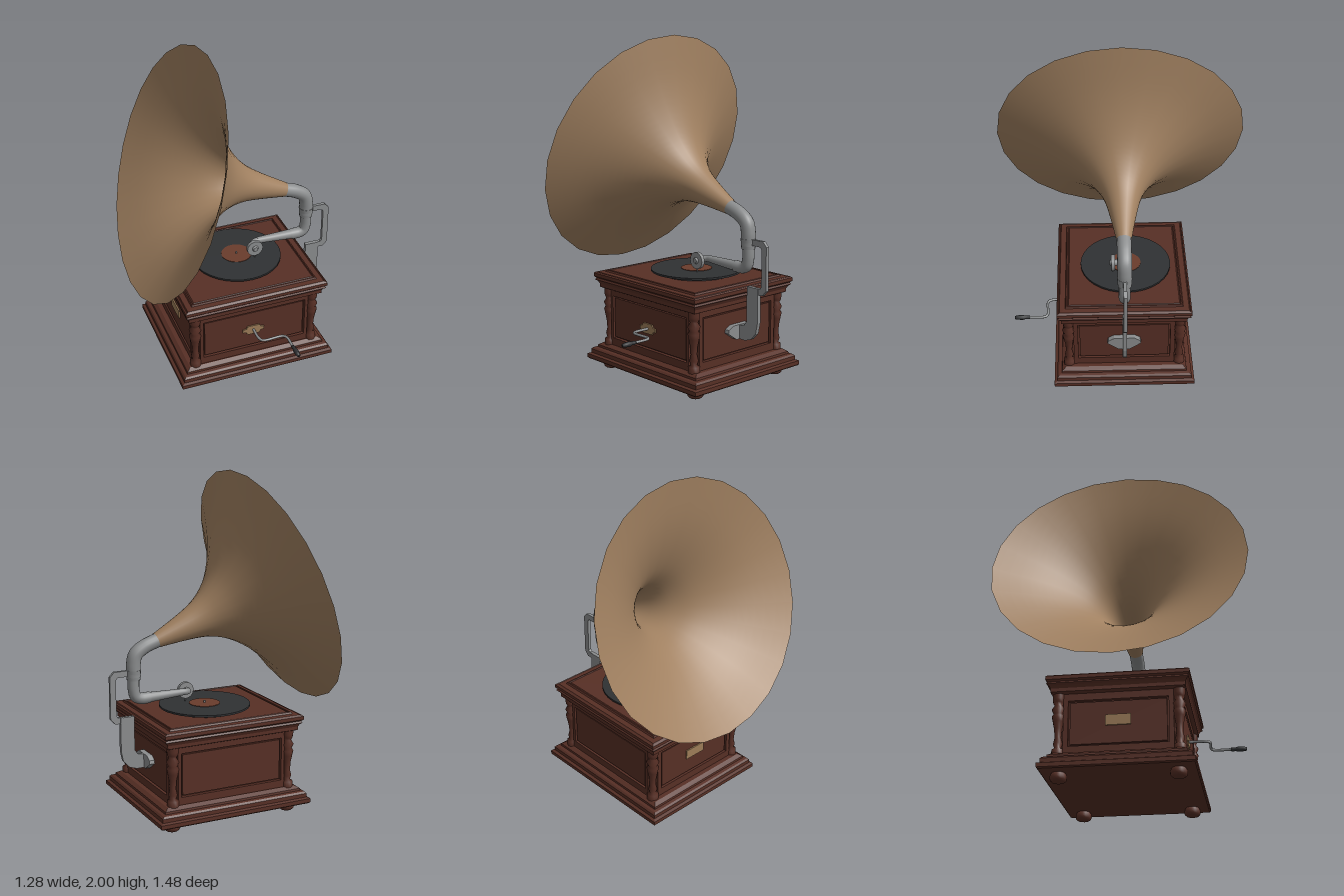
import * as THREE from 'three';

const paint = (name, color, side = THREE.FrontSide) => {
  const m = new THREE.MeshStandardMaterial({ color, side });
  m.name = name;
  return m;
};
const V = (x, y, z = 0) => new THREE.Vector3(x, y, z);

export function createModel() {
  const root = new THREE.Group();
  root.name = 'gramophone';
  const wood = paint('mahogany', 0x572f25);
  const hornTan = paint('horn brass', 0xa08060, THREE.DoubleSide);
  const metal = paint('nickel', 0x8b8d8e);
  const black = paint('black', 0x2f3133);
  const brass = paint('plate brass', 0x9c7c58);
  const labelRed = paint('record label', 0x6a3c2c);

  const add = (name, geometry, material, parent = root) => {
    const mesh = new THREE.Mesh(geometry, material);
    mesh.name = name;
    parent.add(mesh);
    return mesh;
  };
  // tapered round bar between two points
  const bar = (name, a, b, ra, rb, material, sides = 16) => {
    const mesh = add(name, new THREE.CylinderGeometry(rb, ra, a.distanceTo(b), sides), material);
    mesh.position.copy(a).add(b).multiplyScalar(0.5);
    mesh.quaternion.setFromUnitVectors(V(0, 1), b.clone().sub(a).normalize());
    return mesh;
  };
  const tube = (name, points, r, material, sides = 16) =>
    add(name, new THREE.TubeGeometry(new THREE.CatmullRomCurve3(points), 32, r, sides), material);
  const extrude = (pts, depth) => new THREE.ExtrudeGeometry(
    new THREE.Shape(pts.map(([x, y]) => new THREE.Vector2(x, y))), { depth, bevelEnabled: false });

  // rectangular moulding: profile of [half width, y]; the half depth is smaller by d
  const moulding = (name, profile, d, parent) => {
    const rings = profile.map(([h, y]) => [[-1, 1], [1, 1], [1, -1], [-1, -1]].map(([i, k]) => [i * h, y, k * (h - d)]));
    const pos = [];
    const quad = (a, b, c, e) => [a, b, c, a, c, e].forEach(p => pos.push(...p));
    for (let i = 0; i + 1 < rings.length; i++) {
      for (let k = 0; k < 4; k++) {
        const n = (k + 1) % 4;
        quad(rings[i][k], rings[i][n], rings[i + 1][n], rings[i + 1][k]);
      }
    }
    quad(...rings[rings.length - 1]);
    quad(...[...rings[0]].reverse());
    const g = new THREE.BufferGeometry();
    g.setAttribute('position', new THREE.Float32BufferAttribute(pos, 3));
    g.computeVertexNormals();
    return add(name, g, wood, parent);
  };

  // cabinet
  const cabinet = new THREE.Group();
  cabinet.name = 'cabinet';
  cabinet.position.x = 0.022;
  root.add(cabinet);
  moulding('plinth', [[0.478, 0.048], [0.485, 0.055], [0.485, 0.078], [0.468, 0.085], [0.468, 0.108],
    [0.458, 0.118], [0.44, 0.122], [0.438, 0.135], [0.415, 0.15]], 0.063, cabinet);
  moulding('body', [[0.365, 0.14], [0.365, 0.51]], 0.042, cabinet);
  moulding('lid', [[0.41, 0.495], [0.42, 0.5], [0.42, 0.52], [0.428, 0.535], [0.44, 0.545], [0.434, 0.555],
    [0.445, 0.565], [0.445, 0.585], [0.436, 0.592], [0.432, 0.587], [0.428, 0.592], [0.395, 0.594],
    [0.39, 0.604], [0.383, 0.604], [0.38, 0.598], [0.374, 0.603]], 0.05, cabinet);

  // raised frame with a sunken panel on each wall
  const frame = (w, holeW) => {
    const s = new THREE.Shape([[-w, 0.145], [w, 0.145], [w, 0.505], [-w, 0.505]].map(p => new THREE.Vector2(...p)));
    s.holes.push(new THREE.Path([[-holeW, 0.195], [-holeW, 0.455], [holeW, 0.455], [holeW, 0.195]].map(p => new THREE.Vector2(...p))));
    return new THREE.ExtrudeGeometry(s, { depth: 0.022, bevelEnabled: false });
  };
  for (let i = 0; i < 4; i++) {
    const long = i % 2 === 0;
    const wall = new THREE.Group();
    wall.name = 'wall';
    wall.rotation.y = i * Math.PI / 2;
    cabinet.add(wall);
    const face = long ? 0.323 : 0.365;
    const half = long ? 0.325 : 0.275;
    add('wallFrame', frame(long ? 0.345 : 0.302, half), wood, wall).position.z = face;
    add('wallPanel', new THREE.BoxGeometry(half * 2 - 0.02, 0.24, 0.016), wood, wall).position.set(0, 0.325, face + 0.008);
  }

  // corner columns and feet
  const columnProfile = [[0.034, 0.145], [0.034, 0.18], [0.018, 0.19], [0.026, 0.215], [0.018, 0.25], [0.022, 0.3],
    [0.03, 0.34], [0.036, 0.37], [0.026, 0.385], [0.037, 0.41], [0.022, 0.435], [0.03, 0.45], [0.034, 0.47], [0.034, 0.505]]
    .map(p => new THREE.Vector2(...p));
  const footProfile = [[0, 0], [0.035, 0], [0.045, 0.01], [0.048, 0.025], [0.044, 0.04], [0.035, 0.052]]
    .map(p => new THREE.Vector2(...p));
  for (const sx of [-1, 1]) {
    for (const sz of [-1, 1]) {
      add('cornerColumn', new THREE.LatheGeometry(columnProfile, 12), wood, cabinet).position.set(sx * 0.373, 0, sz * 0.331);
      add('foot', new THREE.LatheGeometry(footProfile, 16), wood, cabinet).position.set(sx * 0.376, 0, sz * 0.322);
    }
  }
  add('namePlate', new THREE.BoxGeometry(0.008, 0.06, 0.14), brass).position.set(-0.364, 0.335, 0);

  // record
  const disc = (name, r, y0, y1, m) => bar(name, V(0.04, y0, -0.018), V(0.04, y1, -0.018), r, r, m, 32);
  disc('turntable', 0.22, 0.6, 0.62, black);
  disc('record', 0.272, 0.62, 0.631, black);
  disc('recordLabel', 0.092, 0.63, 0.634, labelRed);
  disc('spindle', 0.006, 0.63, 0.645, metal);

  // flared horn
  const hornCurve = new THREE.SplineCurve([[0.742, 0], [0.527, 0.1], [0.368, 0.195], [0.238, 0.3], [0.157, 0.398],
    [0.108, 0.495], [0.075, 0.62], [0.044, 0.775]].map(p => new THREE.Vector2(...p)));
  const horn = add('horn', new THREE.LatheGeometry(hornCurve.getPoints(28), 24), hornTan);
  horn.position.set(-0.388, 1.302, 0);
  horn.quaternion.setFromUnitVectors(V(0, 1), V(0.94, -0.34).normalize());

  // horn elbow, pivot and tone arm
  tube('hornElbow', [V(0.335, 1.04), V(0.42, 1.008), V(0.472, 0.968), V(0.487, 0.91), V(0.487, 0.84)], 0.042, metal);
  bar('pivotCollar', V(0.487, 0.82), V(0.487, 0.88), 0.039, 0.044, metal);
  tube('toneArmElbow', [V(0.487, 0.85), V(0.487, 0.76), V(0.475, 0.72), V(0.445, 0.705), V(0.39, 0.704)], 0.034, metal);
  bar('toneArm', V(0.41, 0.704), V(0.17, 0.71), 0.031, 0.02, metal);
  tube('toneArmTip', [V(0.19, 0.71), V(0.15, 0.708, 0.005), V(0.13, 0.704, 0.025), V(0.13, 0.702, 0.05)], 0.019, metal);
  bar('soundBox', V(0.13, 0.702, 0.048), V(0.13, 0.702, 0.07), 0.05, 0.05, metal);
  bar('soundBoxHub', V(0.13, 0.702, 0.07), V(0.13, 0.702, 0.08), 0.02, 0.014, metal);
  bar('needle', V(0.13, 0.67, 0.06), V(0.13, 0.634, 0.06), 0.006, 0.003, metal, 8);

  // support bracket on the side wall
  add('supportRod', extrude([[0.51, 0.845], [0.588, 0.845], [0.6, 0.833], [0.6, 0.618], [0.59, 0.606], [0.55, 0.606],
    [0.55, 0.57], [0.608, 0.57], [0.636, 0.6], [0.636, 0.852], [0.61, 0.88], [0.51, 0.88]], 0.02), metal).position.z = -0.01;
  add('supportPlate', extrude([[0.49, 0.605], [0.49, 0.4], [0.47, 0.372], [0.41, 0.365], [0.41, 0.285], [0.48, 0.285],
    [0.525, 0.3], [0.562, 0.34], [0.575, 0.4], [0.575, 0.605]], 0.024), metal).position.z = -0.012;
  const mount = add('supportMount', extrude([[-0.1, 0.33], [-0.035, 0.285], [0.035, 0.285], [0.1, 0.33],
    [0.095, 0.35], [0.06, 0.37], [-0.06, 0.37], [-0.095, 0.35]], 0.035), metal);
  mount.rotation.y = Math.PI / 2;
  mount.position.x = 0.4;

  // winding crank
  const plate = [[-0.068, 0.01], [-0.045, 0.014], [-0.04, 0.03], [0.04, 0.03], [0.045, 0.014], [0.068, 0.01],
    [0.068, -0.01], [0.045, -0.014], [0.04, -0.03], [-0.04, -0.03], [-0.045, -0.014], [-0.068, -0.01]].reverse();
  add('crankPlate', extrude(plate, 0.009), brass).position.set(0.015, 0.32, 0.338);
  tube('crankRod', [V(0.015, 0.32, 0.33), V(0.015, 0.32, 0.435), V(0.03, 0.32, 0.46), V(0.155, 0.32, 0.463),
    V(0.172, 0.32, 0.48), V(0.174, 0.32, 0.58)], 0.008, metal, 10);
  const grip = [[0, 0], [0.01, 0], [0.012, 0.015], [0.01, 0.025], [0.015, 0.04], [0.014, 0.07], [0.01, 0.09], [0, 0.09]];
  const handle = add('crankHandle', new THREE.LatheGeometry(grip.map(p => new THREE.Vector2(...p)), 12), black);
  handle.rotation.x = Math.PI / 2;
  handle.position.set(0.174, 0.32, 0.572);

  return root;
}
